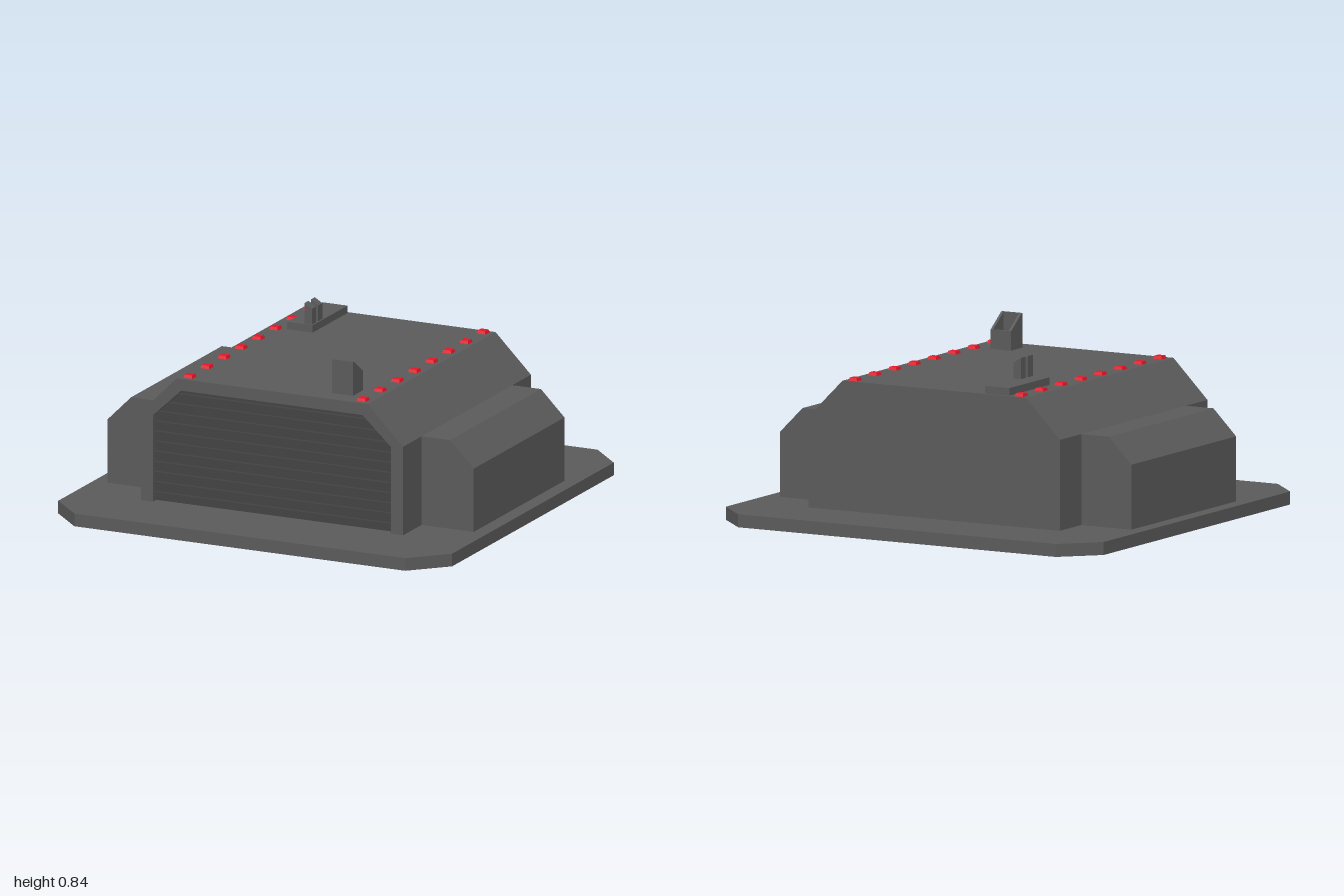
import * as THREE from 'three';

const charcoal = new THREE.MeshStandardMaterial({ color: 0x5a5a5a, flatShading: true });
const darkSteel = new THREE.MeshStandardMaterial({ color: 0x424242, flatShading: true });
const red = new THREE.MeshStandardMaterial({ color: 0xe61428, flatShading: true });

const toShape = (points) => new THREE.Shape(points.map(([x, y]) => new THREE.Vector2(x, y)));

// Profile in the x-y plane, running from z0 to z1.
function prismZ(points, z0, z1) {
  const geometry = new THREE.ExtrudeGeometry(toShape(points), { depth: z1 - z0, bevelEnabled: false });
  return geometry.translate(0, 0, z0);
}

// Profile in the z-y plane, running from x0 to x1.
function prismX(points, x0, x1) {
  const geometry = new THREE.ExtrudeGeometry(toShape(points), { depth: x1 - x0, bevelEnabled: false });
  return geometry.rotateY(-Math.PI / 2).translate(x1, 0, 0);
}

function box(x0, x1, y0, y1, z0, z1) {
  return new THREE.BoxGeometry(x1 - x0, y1 - y0, z1 - z0)
    .translate((x0 + x1) / 2, (y0 + y1) / 2, (z0 + z1) / 2);
}

export function createModel() {
  const model = new THREE.Group();
  model.name = 'bunker';
  const add = (name, geometry, material = charcoal, parent = model) => {
    const mesh = new THREE.Mesh(geometry, material);
    mesh.name = name;
    parent.add(mesh);
  };
  const group = (name) => {
    const g = new THREE.Group();
    g.name = name;
    model.add(g);
    return g;
  };

  // Foundation slab with cut corners
  const c = 0.84;
  const slab = prismZ([[-c, -1], [c, -1], [1, -c], [1, c], [c, 1], [-c, 1], [-1, c], [-1, -c]], 0, 0.06);
  add('foundationSlab', slab.rotateX(-Math.PI / 2).translate(0, 0.02, 0));

  // Main hall, with an arched frame around the front door
  const outer = [[0.665, 0.08], [0.665, 0.5], [0.485, 0.68], [-0.485, 0.68], [-0.665, 0.5], [-0.665, 0.08]];
  const inner = [[-0.605, 0.08], [-0.605, 0.49], [-0.46, 0.625], [0.46, 0.625], [0.605, 0.49], [0.605, 0.08]];
  add('mainHall', prismZ(outer, -0.665, 0.58));
  add('doorFrame', prismZ([...outer, ...inner], 0.58, 0.665));

  // Slatted door; panel and slats narrow under the sloping shoulders
  const door = group('door');
  const panel = [[-0.635, 0.005], [0.635, 0.005], [0.635, 0.48], [0.475, 0.635], [-0.475, 0.635], [-0.635, 0.48]];
  add('doorPanel', prismZ(panel, 0.585, 0.63), darkSteel, door);
  const pitch = 0.048;
  for (let i = 0; i < 13; i++) {
    const y = i * pitch;
    const half = 0.635 - Math.max(0, y + pitch - 0.49) * 1.07;
    add('doorSlat', box(-half, half, y, y + pitch * 0.55, 0.585, 0.65), darkSteel, door);
  }

  // Side bays
  for (const s of [1, -1]) {
    const points = [[0.66, 0.08], [0.93, 0.08], [0.93, 0.38], [0.81, 0.5], [0.66, 0.5]];
    add(s > 0 ? 'leftSideBay' : 'rightSideBay', prismZ(points.map(([x, y]) => [x * s, y]), -0.472, 0.472));
  }

  // Two rows of tapered roof lights
  const lights = group('roofLights');
  for (const x of [-0.44, 0.44]) {
    for (let i = 0; i < 8; i++) {
      const light = new THREE.CylinderGeometry(0.026, 0.033, 0.016, 4).rotateY(Math.PI / 4);
      add('roofLight', light.translate(x, 0.686, -0.628 + i * 0.178), red, lights);
    }
  }

  // Roof plate with two slant-topped posts
  const plate = group('roofPlateAssembly');
  add('roofPlate', box(-0.39, -0.26, 0.68, 0.715, -0.652, -0.29), charcoal, plate);
  for (const z of [-0.317, -0.383]) {
    const profile = [[-0.305, 0.71], [-0.267, 0.71], [-0.267, 0.79], [-0.305, 0.813]];
    add('roofPost', prismZ(profile, z - 0.021, z + 0.021), charcoal, plate);
  }

  // Hollow chimney with a sloping open top
  const chimney = group('chimney');
  const cheek = [[0.465, 0.68], [0.57, 0.68], [0.57, 0.84], [0.56, 0.84], [0.465, 0.77]];
  add('chimneySide', prismX(cheek, 0.257, 0.27), charcoal, chimney);
  add('chimneySide', prismX(cheek, 0.352, 0.365), charcoal, chimney);
  add('chimneyFront', box(0.27, 0.352, 0.68, 0.84, 0.558, 0.57), charcoal, chimney);
  add('chimneyBack', box(0.27, 0.352, 0.68, 0.77, 0.465, 0.475), charcoal, chimney);

  return model;
}
